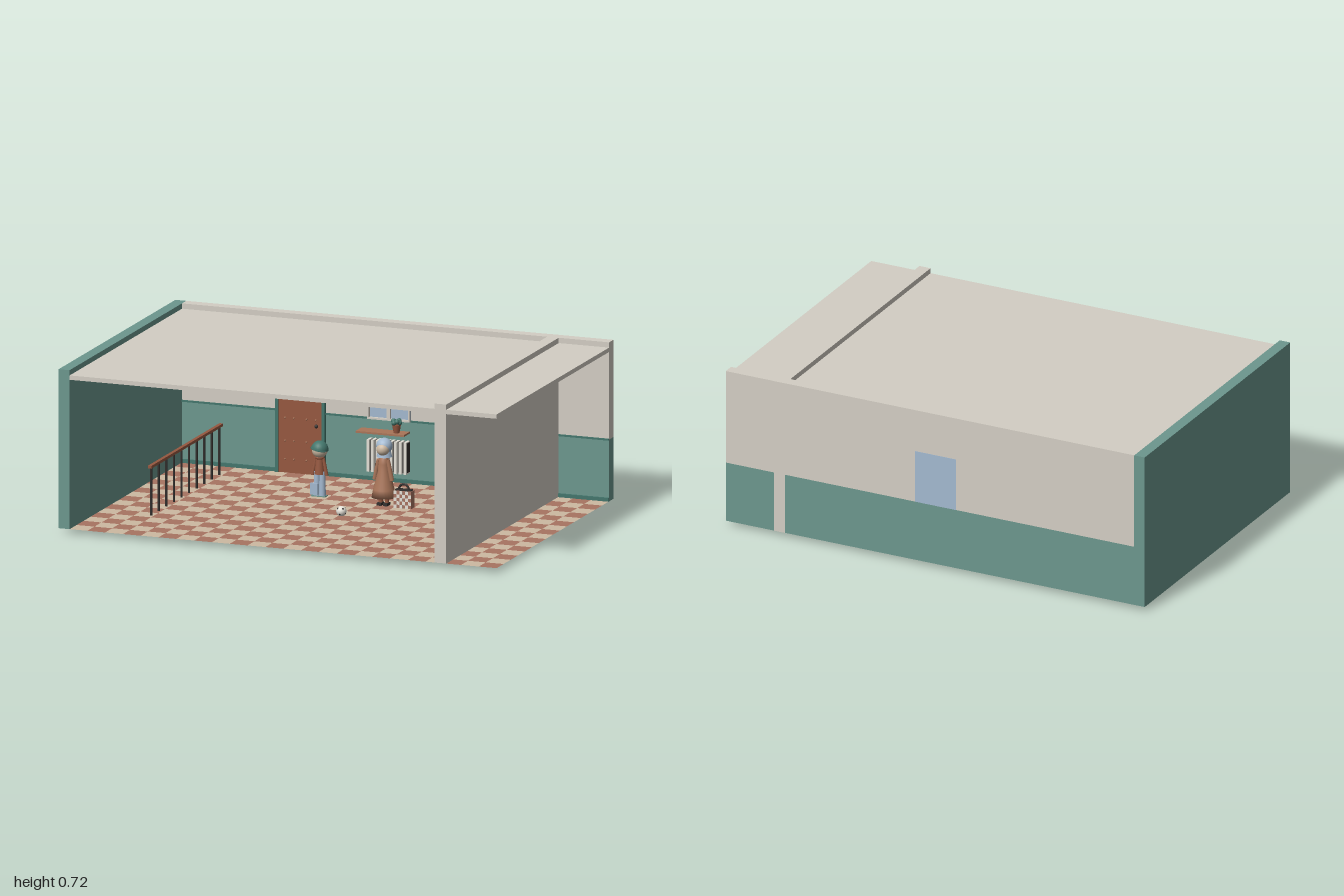
import * as THREE from 'three';
import { mergeGeometries } from 'three/addons/utils/BufferGeometryUtils.js';

function mat(name, color, double) {
  const m = new THREE.MeshStandardMaterial({ color });
  m.name = name;
  if (double) m.side = THREE.DoubleSide;
  return m;
}

export function createModel() {
  const cream = mat('cream plaster', 0xd3cec4);
  const teal = mat('teal paint', 0x6c978e);
  const darkTeal = mat('dark teal trim', 0x43766c);
  const rust = mat('rust brown', 0x965840);
  const blue = mat('pale blue', 0xa3b9d0);
  const dark = mat('dark metal', 0x33302e);
  const tileBrown = mat('tile brown', 0xa87462, true);
  const tileBeige = mat('tile beige', 0xcdb9a2, true);
  const white = mat('off white', 0xe6e2d8);
  const tan = mat('tan cloth', 0xa97559);

  const root = new THREE.Group();
  root.name = 'hallway';
  const group = (name, x = 0, y = 0, z = 0) => {
    const g = new THREE.Group();
    g.name = name;
    g.position.set(x, y, z);
    root.add(g);
    return g;
  };
  const add = (name, geo, m, x, y, z, parent = root) => {
    const mesh = new THREE.Mesh(geo, m);
    mesh.name = name;
    mesh.position.set(x, y, z);
    parent.add(mesh);
    return mesh;
  };
  // Box given by its limits on each axis
  const box = (name, m, x0, x1, y0, y1, z0, z1, parent) =>
    add(name, new THREE.BoxGeometry(x1 - x0, y1 - y0, z1 - z0), m,
      (x0 + x1) / 2, (y0 + y1) / 2, (z0 + z1) / 2, parent);
  const ball = (name, m, r, x, y, z, parent) =>
    add(name, new THREE.SphereGeometry(r, 20, 14), m, x, y, z, parent);
  const rod = (name, m, r0, r1, h, x, y, z, parent) =>
    add(name, new THREE.CylinderGeometry(r0, r1, h, 14), m, x, y, z, parent);

  // Room shell
  const Y = 0.02, TOP = 0.715, BACK = -0.63;
  box('leftSideWall', teal, -1, -0.95, Y, TOP, -0.68, 0.68);
  box('backWallLower', teal, -0.95, 1, Y, 0.29, -0.68, BACK);
  box('backWallUpper', cream, -0.95, 1, 0.29, TOP, -0.68, BACK);
  box('partitionWall', cream, 0.717, 0.77, Y, TOP, -0.681, 0.68);
  box('ceilingLeft', cream, -0.95, 0.717, 0.673, 0.692, BACK, 0.68);
  box('ceilingRight', cream, 0.77, 1, 0.673, 0.692, BACK, 0.68);
  for (const [a, b] of [[-0.95, 0.717], [0.77, 1]]) {
    box('dadoRail', darkTeal, a, b, 0.286, 0.294, BACK, -0.625);
    box('baseboard', darkTeal, a, b, Y, 0.036, BACK, -0.622);
  }

  // Checkered floor, one merged mesh for each colour
  const tiles = [[], []], NX = 24, NZ = 16, w = 1.95 / NX, d = 1.31 / NZ;
  for (let i = 0; i < NX; i++) for (let j = 0; j < NZ; j++) {
    tiles[(i + j) % 2].push(new THREE.PlaneGeometry(w, d).rotateX(-Math.PI / 2)
      .translate(-0.95 + (i + 0.5) * w, Y, BACK + (j + 0.5) * d));
  }
  add('brownFloorTiles', mergeGeometries(tiles[0]), tileBrown, 0, 0, 0);
  add('beigeFloorTiles', mergeGeometries(tiles[1]), tileBeige, 0, 0, 0);

  // Frame of two posts and a head
  const doorFrame = (g, x0, x1, h, t) => {
    box('leftJamb', darkTeal, x0, x0 + t, Y, h, BACK, -0.615, g);
    box('rightJamb', darkTeal, x1 - t, x1, Y, h, BACK, -0.615, g);
    box('doorHead', darkTeal, x0 + t, x1 - t, h - t, h, BACK, -0.615, g);
  };

  // Studded door
  const door = group('studdedDoor');
  doorFrame(door, -0.52, -0.293, 0.48, 0.014);
  box('doorLeaf', rust, -0.506, -0.307, Y, 0.466, BACK, -0.62, door);
  box('doorPlate', white, -0.428, -0.382, 0.375, 0.4, -0.62, -0.617, door);
  for (const x of [-0.475, -0.435, -0.378, -0.335])
    for (const y of [0.08, 0.16, 0.26, 0.35, 0.43])
      ball('stud', tan, 0.004, x, y, -0.619, door);
  ball('doorKnob', dark, 0.008, -0.33, 0.235, -0.612, door);

  // Plain doorway
  const doorway = group('plainDoor');
  doorFrame(doorway, 0.22, 0.49, 0.5, 0.016);
  box('doorPanel', cream, 0.236, 0.474, Y, 0.484, BACK, -0.622, doorway);

  // Window through the back wall
  const win = group('window');
  box('glass', blue, -0.1, 0.095, 0.29, 0.525, -0.681, -0.628, win);
  for (const [a, b] of [[-0.1, -0.092], [-0.011, 0.006], [0.087, 0.095]])
    box('windowUpright', cream, a, b, 0.29, 0.525, -0.629, -0.615, win);
  for (const [a, b] of [[0.288, 0.296], [0.425, 0.438], [0.517, 0.525]])
    box('windowCrossbar', cream, -0.1, 0.095, a, b, -0.629, -0.614, win);

  // Shelf, potted plant and radiator
  box('shelf', tan, -0.13, 0.09, 0.237, 0.245, BACK, -0.56);
  const plant = group('pottedPlant', 0.045, 0.245, -0.59);
  rod('pot', rust, 0.019, 0.013, 0.035, 0, 0.018, 0, plant);
  for (let i = 0; i < 6; i++)
    ball('leaf', darkTeal, 0.011, 0.014 * Math.cos(i * 1.05), 0.045 + 0.006 * (i % 2), 0.014 * Math.sin(i * 1.05), plant);
  const radiator = group('radiator');
  box('radiatorCore', dark, -0.09, 0.09, 0.07, 0.2, BACK, -0.6, radiator);
  for (let i = 0; i < 9; i++)
    box('radiatorFin', white, -0.09 + i * 0.021, -0.078 + i * 0.021, 0.065, 0.205, BACK, -0.585, radiator);

  // Ceiling lamp and wall switch
  ball('lampGlobe', cream, 0.023, 0.085, 0.652, 0);
  box('wallSwitch', cream, 0.52, 0.538, 0.272, 0.29, BACK, -0.62);
  ball('switchButton', rust, 0.005, 0.53, 0.27, -0.618);

  // Stair railing
  const railing = group('railing');
  for (let i = 0; i < 10; i++)
    rod('railingPost', dark, 0.005, 0.005, 0.21, -0.72, 0.125, 0.315 - i * 0.088, railing);
  box('handrail', rust, -0.728, -0.712, 0.228, 0.24, -0.5, 0.335, railing);

  // Football
  const football = group('football', 0.04, 0.043, 0.04);
  ball('footballSkin', white, 0.022, 0, 0, 0, football);
  for (let i = 0; i < 8; i++) {
    const v = new THREE.Vector3().setFromSphericalCoords(0.0165, i % 2 ? 0.9 : 2.1, i * Math.PI / 4);
    ball('footballPatch', dark, 0.0065, v.x, v.y, v.z, football);
  }

  // Child with cap, satchel and sled-like case
  const child = group('child', -0.18, 0, -0.27);
  box('footBox', teal, -0.035, 0.03, 0, 0.024, -0.018, 0.015, child);
  for (const s of [-1, 1]) {
    rod('leg', blue, 0.013, 0.015, 0.11, s * 0.012, 0.075, 0, child);
    rod('arm', rust, 0.007, 0.008, 0.075, s * 0.024, 0.15, 0, child).rotation.z = s * 0.2;
  }
  rod('torso', rust, 0.015, 0.023, 0.075, 0, 0.155, 0, child);
  add('scarf', new THREE.TorusGeometry(0.014, 0.007, 8, 16).rotateX(Math.PI / 2), rust, 0, 0.19, 0, child);
  box('satchel', blue, -0.034, 0, 0.03, 0.08, 0.014, 0.026, child);
  ball('head', tileBeige, 0.034, 0, 0.222, 0, child);
  const cap = add('cap', new THREE.SphereGeometry(0.037, 20, 8, 0, Math.PI * 2, 0, Math.PI / 2), darkTeal, 0, 0.226, 0, child);
  cap.rotation.z = -0.2;
  rod('capBrim', darkTeal, 0.036, 0.036, 0.004, 0, 0.228, 0.01, child).rotation.z = -0.2;

  // Woman in a long coat and headscarf
  const woman = group('woman', 0.132, 0, -0.22);
  const coat = [[0, 0.055], [0.052, 0.055], [0.046, 0.09], [0.025, 0.17], [0.024, 0.2], [0.018, 0.235], [0, 0.24]];
  add('coat', new THREE.LatheGeometry(coat.map(p => new THREE.Vector2(...p)), 24), tan, 0, 0, 0, woman);
  for (const s of [-1, 1]) {
    rod('leg', rust, 0.009, 0.009, 0.04, s * 0.014, 0.042, 0, woman);
    box('shoe', dark, s * 0.014 - 0.01, s * 0.014 + 0.01, 0.017, 0.032, -0.015, 0.022, woman);
    rod('sleeve', tan, 0.009, 0.01, 0.09, s * 0.03, 0.175, 0.006, woman).rotation.z = s * 0.2;
  }
  ball('face', tileBeige, 0.028, 0, 0.266, 0.01, woman);
  ball('headscarf', blue, 0.035, 0, 0.277, -0.006, woman);
  rod('scarfKnot', blue, 0.026, 0.034, 0.03, 0, 0.245, -0.008, woman);

  // Checkered shopping bag
  const bag = group('shoppingBag', 0.232, 0.022, -0.2);
  const cols = 6, rows = 5, c = 0.08 / cols, r = 0.075 / rows;
  box('bagBody', tileBrown, -0.04, 0.04, 0, 0.075, -0.02, 0.02, bag);
  for (let i = 0; i < cols; i++) for (let j = 0; j < rows; j++) {
    if ((i + j) % 2) continue;
    const x = -0.04 + i * c;
    for (const z of [-0.021, 0.02]) box('bagSquare', white, x, x + c, j * r, j * r + r, z, z + 0.001, bag);
  }
  box('bagTop', dark, -0.036, 0.036, 0.075, 0.08, -0.014, 0.014, bag);
  add('bagHandle', new THREE.TorusGeometry(0.022, 0.005, 8, 18, Math.PI), dark, 0, 0.08, 0, bag);

  return root;
}
